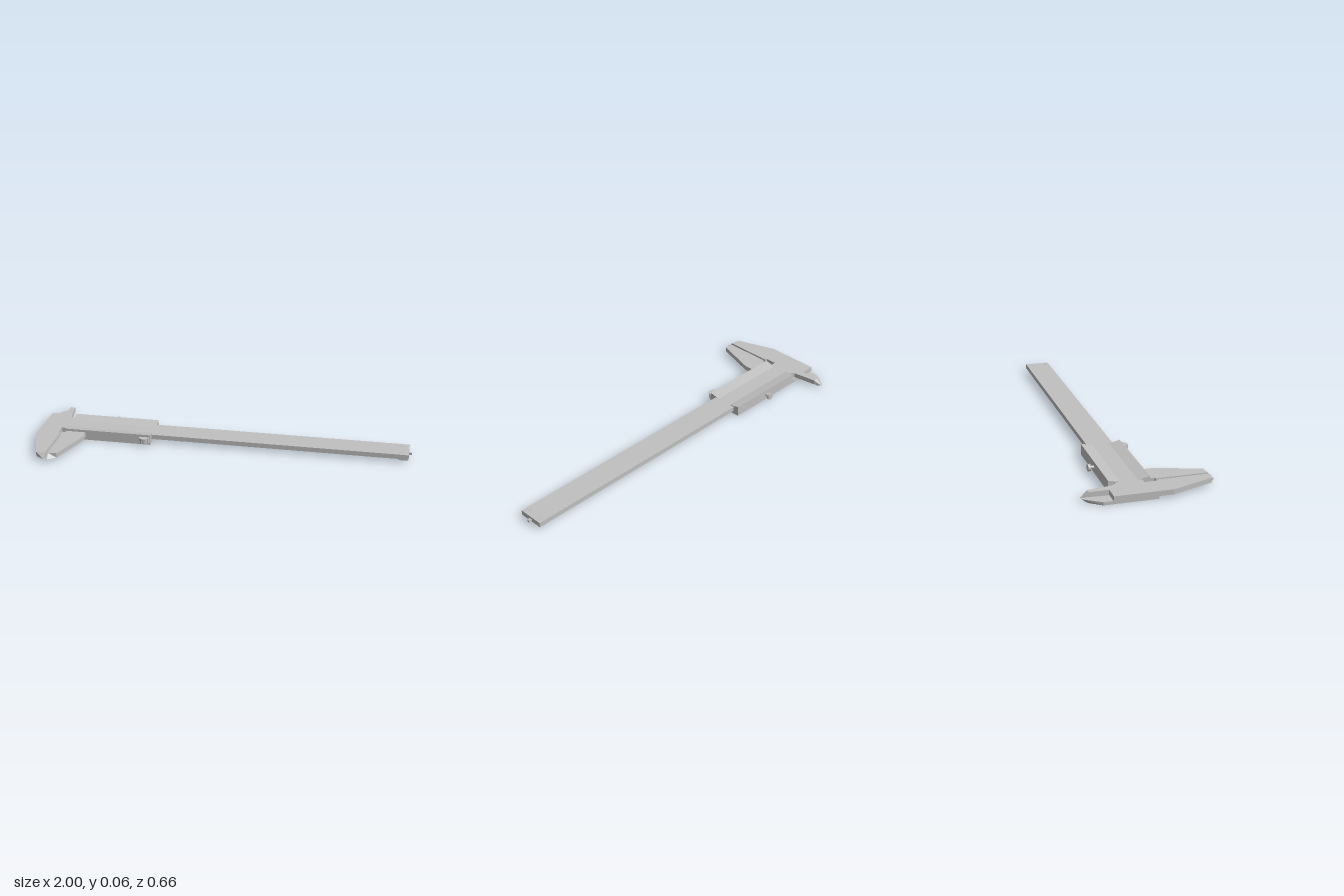
import * as THREE from 'three';

const steel = new THREE.MeshStandardMaterial({ color: 0xc0c0c0 });
steel.name = 'steel';

const toShape = (pts) => new THREE.Shape(pts.map(([a, b]) => new THREE.Vector2(a, b)));

// Flat plate from an [x, z] outline between two heights
function plate(pts, y0, y1) {
  const g = new THREE.ExtrudeGeometry(toShape(pts.map(([x, z]) => [x, -z])), { depth: y1 - y0, bevelEnabled: false });
  return g.rotateX(-Math.PI / 2).translate(0, y0, 0);
}

// Bar along x from a [z, y] cross-section
function bar(pts, x0, x1) {
  const g = new THREE.ExtrudeGeometry(toShape(pts.map(([z, y]) => [-z, y])), { depth: x1 - x0, bevelEnabled: false });
  return g.rotateY(Math.PI / 2).translate(x0, 0, 0);
}

// Slope the tips by pulling one layer's corners back to a z range
function bevelTips(g, y, zMin, zMax) {
  const p = g.attributes.position;
  for (let i = 0; i < p.count; i++) {
    if (Math.abs(p.getY(i) - y) < 1e-4) p.setZ(i, THREE.MathUtils.clamp(p.getZ(i), zMin, zMax));
  }
  g.computeVertexNormals();
  return g;
}

export function createModel() {
  const model = new THREE.Group();
  model.name = 'slidingCaliper';
  const add = (name, geometry) => {
    const m = new THREE.Mesh(geometry, steel);
    m.name = name;
    model.add(m);
    return m;
  };
  const low = 0.018, high = 0.043;

  // Fixed head: long outside jaw at the front, short inside jaw at the back
  add('fixedJaw', bevelTips(plate([
    [-1, -0.195], [-1, 0.09], [-0.925, 0.3], [-0.88, 0.33], [-0.875, 0.33], [-0.875, 0.05],
    [-0.887, 0.045], [-0.887, -0.015], [-0.8, -0.015], [-0.8, -0.148], [-0.865, -0.148],
    [-0.882, -0.17], [-0.9, -0.295], [-0.918, -0.33], [-0.925, -0.33], [-0.925, -0.195],
  ], low, high), high, -0.292, 0.305));

  // Beam with a groove along its underside
  add('beam', bar([
    [-0.015, low], [-0.015, high], [-0.148, high], [-0.148, low],
    [-0.09, low], [-0.09, 0.031], [-0.07, 0.031], [-0.07, low],
  ], -0.8, 0.985));
  add('depthRod', new THREE.BoxGeometry(1.5, 0.011, 0.013)).position.set(0.25, 0.0245, -0.08);

  // End stop under the beam, with its two screws
  add('endStop', new THREE.BoxGeometry(0.045, 0.007, 0.127)).position.set(0.957, 0.0145, -0.08);
  for (const z of [-0.125, -0.038]) {
    add('stopScrew', new THREE.CylinderGeometry(0.008, 0.008, 0.002, 16)).position.set(0.95, high, z);
  }

  // Slider body with two rails sloping down to the beam
  add('slider', bar([
    [0.022, 0], [0.022, 0.056], [-0.04, high - 0.001], [-0.115, high - 0.001], [-0.18, 0.056], [-0.18, 0],
  ], -0.855, -0.385));

  // Sliding outside jaw
  add('slidingJaw', bevelTips(plate([
    [-0.852, 0], [-0.852, 0.045], [-0.863, 0.05], [-0.863, 0.33], [-0.858, 0.33],
    [-0.815, 0.3], [-0.742, 0.08], [-0.742, 0],
  ], low, high), high, -1, 0.305));

  // Back plate carrying the sliding inside jaw under the fixed one
  add('slidingInsideJaw', bevelTips(plate([
    [-0.854, 0.022], [-0.99, 0.022], [-0.99, -0.24], [-0.945, -0.31], [-0.93, -0.33],
    [-0.925, -0.33], [-0.925, -0.2], [-0.9, -0.18], [-0.854, -0.18],
  ], 0, low - 0.002), 0, -0.3, 1));

  // Thumb grip: upright knurled roller
  add('thumbRoller', new THREE.CylinderGeometry(0.028, 0.028, 0.028, 24).toNonIndexed())
    .position.set(-0.415, 0.029, 0.024);
  for (let i = 0; i < 7; i++) {
    const a = (i + 0.5) * Math.PI / 7;
    const rib = add('rollerRib', new THREE.BoxGeometry(0.003, 0.027, 0.004));
    rib.position.set(-0.415 + Math.cos(a) * 0.028, 0.029, 0.024 + Math.sin(a) * 0.028);
    rib.rotation.y = -a;
  }

  // Locking screw at the back
  const screwPart = (name, r, len, z) => add(name,
    new THREE.CylinderGeometry(r, r, len, 20).rotateX(Math.PI / 2)).position.set(-0.62, 0.028, z);
  screwPart('lockScrewShaft', 0.008, 0.03, -0.188);
  screwPart('lockScrewHead', 0.018, 0.013, -0.205);

  return model;
}
